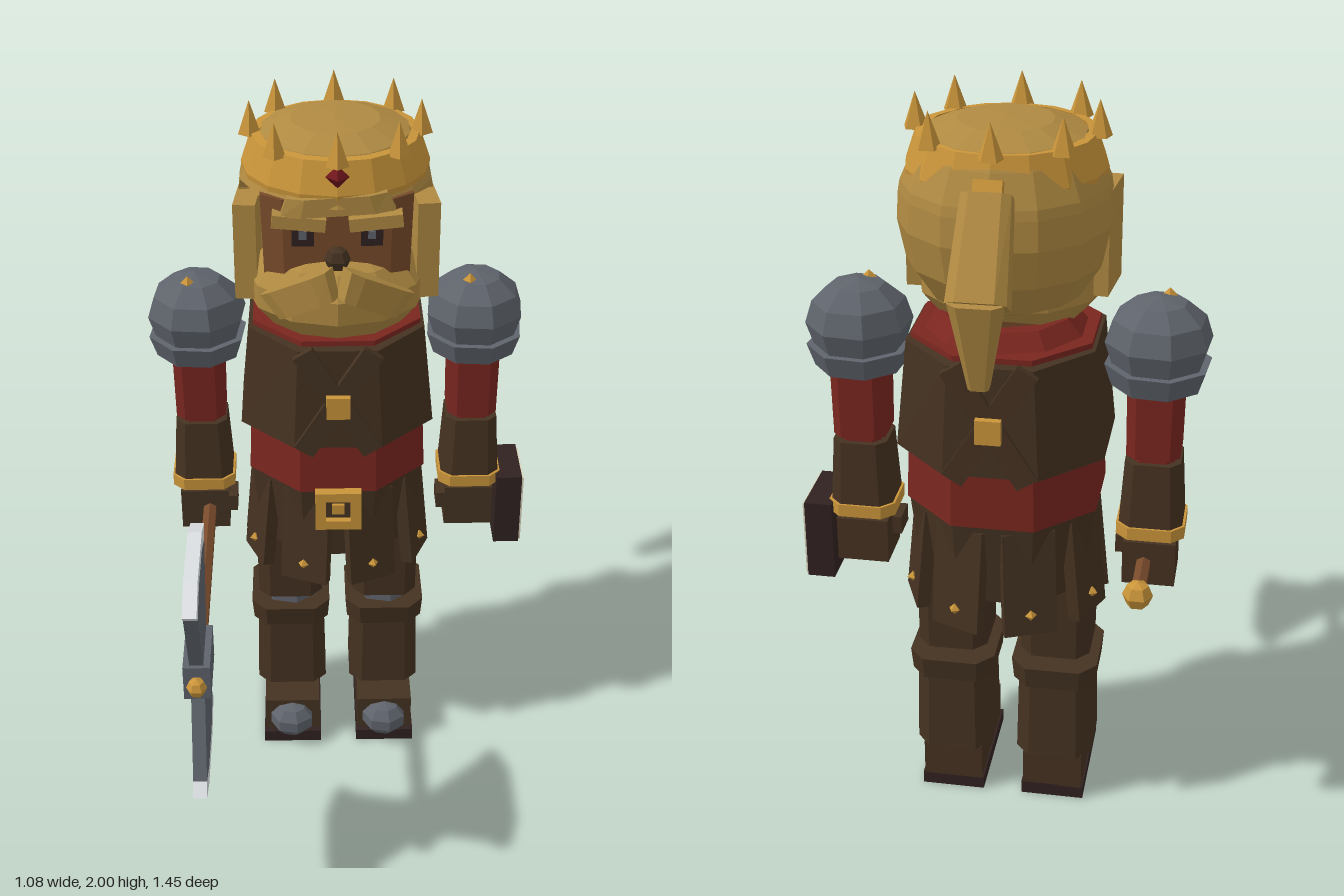
import * as THREE from 'three';

const mat = (name, color) => {
  const m = new THREE.MeshStandardMaterial({ color });
  m.name = name;
  return m;
};

export function createModel() {
  const hair = mat('hair', 0xb08a42), gold = mat('gold', 0xca953a), leather = mat('leather', 0x453221);
  const red = mat('red cloth', 0x7a261f), steel = mat('steel', 0x5f646c), silver = mat('blade edge', 0xdcdfe2);
  const skin = mat('skin and wood', 0x774a2a), page = mat('parchment', 0xd8d1ba);
  const gem = mat('gem', 0x6e161b), dark = mat('dark sole', 0x302220);

  // Faceted mesh with flat normals
  function add(parent, name, geo, material, pos, rot = [0, 0, 0], scale = [1, 1, 1]) {
    const g = geo.index ? geo.toNonIndexed() : geo;
    g.computeVertexNormals();
    const m = new THREE.Mesh(g, material);
    m.name = name;
    m.position.set(...pos);
    m.rotation.set(...rot);
    m.scale.set(...scale);
    parent.add(m);
    return m;
  }
  const group = (parent, name, x = 0, y = 0, z = 0) => {
    const g = new THREE.Group();
    g.name = name;
    g.position.set(x, y, z);
    parent.add(g);
    return g;
  };
  const box = (w, h, d) => new THREE.BoxGeometry(w, h, d);
  const ball = (r, a = 8, b = 6) => new THREE.SphereGeometry(r, a, b);
  const stud = r => new THREE.OctahedronGeometry(r);
  const points = list => list.map(p => new THREE.Vector2(...p));

  // Tapered block with chamfered upright corners; k is the flat share of each side
  function prism(wTop, dTop, wBot, dBot, h, k = 0.64) {
    const g = new THREE.CylinderGeometry(1, 1, h, 8, 1, false, Math.PI / 8);
    const p = g.attributes.position;
    const snap = v => Math.abs(v) < 0.1 ? 0 : Math.sign(v) * (Math.abs(v) > 0.6 ? 0.5 : 0.5 * k);
    for (let i = 0; i < p.count; i++) {
      const top = p.getY(i) > 0;
      p.setX(i, snap(p.getX(i)) * (top ? wTop : wBot));
      p.setZ(i, snap(p.getZ(i)) * (top ? dTop : dBot));
    }
    return g;
  }

  const model = new THREE.Group();
  model.name = 'warrior';
  const body = group(model, 'body', -0.013, 0, -0.265);

  // Torso: tunic, vest, crossed straps, belt
  const torso = group(body, 'torso');
  add(torso, 'tunic', prism(0.46, 0.46, 0.5, 0.49, 0.47, 0.43), red, [0, 1.175, 0]);
  add(torso, 'vest', prism(0.48, 0.52, 0.54, 0.54, 0.295, 0.45), leather, [0, 1.248, 0]);
  add(torso, 'collar', new THREE.CylinderGeometry(0.17, 0.22, 0.05, 10), red, [0, 1.425, 0]);
  add(torso, 'neck', new THREE.CylinderGeometry(0.13, 0.14, 0.14, 8), skin, [0, 1.46, 0]);
  add(torso, 'pelvis', prism(0.49, 0.48, 0.44, 0.42, 0.25, 0.43), leather, [0, 0.825, 0]);
  for (const s of [1, -1]) {
    for (const t of [1, -1])
      add(torso, 'chestStrap', box(0.06, 0.36, 0.02), leather, [0, 1.245, s * 0.272], [0, 0, t * 0.56]);
    add(torso, 'strapStud', box(0.065, 0.065, 0.025), gold, [0, 1.24, s * 0.288]);
  }
  const frame = new THREE.Shape(points([[-0.065, -0.06], [0.065, -0.06], [0.065, 0.06], [-0.065, 0.06]]));
  frame.holes.push(new THREE.Path(points([[-0.035, -0.032], [-0.035, 0.032], [0.035, 0.032], [0.035, -0.032]])));
  add(torso, 'buckleFrame', new THREE.ExtrudeGeometry(frame, { depth: 0.05, bevelEnabled: false }), gold, [0, 0.89, 0.225]);
  add(torso, 'bucklePlate', box(0.07, 0.064, 0.04), leather, [0, 0.89, 0.235]);
  add(torso, 'bucklePin', box(0.035, 0.03, 0.02), gold, [0, 0.89, 0.255]);

  // Skirt of flared panels, each with a stud
  for (let i = 0; i < 8; i++) {
    const p = group(body, 'skirtPanel');
    p.rotation.y = (i + 0.5) * Math.PI / 4;
    add(p, 'panel', box(0.14, 0.29, 0.035), leather, [0, 0.775, 0.235], [-0.1, 0, 0]);
    add(p, 'panelStud', stud(0.016), gold, [0, 0.69, 0.264]);
  }

  // Legs and boots
  for (const s of [1, -1]) {
    const leg = group(body, s > 0 ? 'leftLeg' : 'rightLeg', s * 0.142);
    add(leg, 'thigh', prism(0.2, 0.22, 0.19, 0.21, 0.32), leather, [0, 0.63, 0]);
    add(leg, 'kneeGuard', ball(0.09, 7, 5), steel, [0, 0.44, 0.02]);
    add(leg, 'bootCuff', prism(0.235, 0.27, 0.225, 0.25, 0.065), leather, [0, 0.412, 0]);
    add(leg, 'bootShaft', prism(0.2, 0.22, 0.21, 0.23, 0.24), leather, [0, 0.262, 0]);
    add(leg, 'foot', box(0.165, 0.11, 0.31), leather, [0, 0.09, 0.05]);
    add(leg, 'sole', box(0.175, 0.038, 0.33), dark, [0, 0.019, 0.06]);
    add(leg, 'toeCap', ball(0.07, 7, 5), steel, [0, 0.08, 0.205], [0, 0, 0], [1, 0.8, 0.9]);
  }

  // Arms: pauldron, sleeve, bracer, cuff, fist
  for (const s of [1, -1]) {
    const arm = group(body, s > 0 ? 'leftArm' : 'rightArm', s * 0.388);
    add(arm, 'pauldron', ball(0.14, 8, 6), steel, [0, 1.39, 0], [0, 0.3, 0], [1, 0.84, 1]);
    add(arm, 'pauldronRim', new THREE.CylinderGeometry(0.14, 0.12, 0.06, 8), steel, [0, 1.3, 0], [0, 0.3, 0]);
    add(arm, 'pauldronStud', stud(0.02), gold, [-0.02, 1.495, 0.04]);
    add(arm, 'sleeve', prism(0.145, 0.155, 0.14, 0.15, 0.2), red, [0, 1.18, 0]);
    add(arm, 'elbow', prism(0.11, 0.12, 0.11, 0.12, 0.06), red, [0, 1.07, 0]);
    add(arm, 'bracer', prism(0.145, 0.15, 0.17, 0.17, 0.2), leather, [0, 0.965, 0]);
    add(arm, 'cuff', prism(0.18, 0.18, 0.18, 0.18, 0.035), gold, [0, 0.868, 0]);
    add(arm, 'fist', box(0.14, 0.125, 0.14), leather, [0, 0.77, 0]);
    add(arm, 'thumb', box(0.04, 0.05, 0.08), leather, [-s * 0.075, 0.79, 0.03]);
  }

  // Head and face
  const head = group(body, 'head');
  add(head, 'face', prism(0.4, 0.28, 0.38, 0.28, 0.32, 0.72), skin, [0, 1.65, 0.07]);
  add(head, 'nose', ball(0.035, 6, 4), leather, [0, 1.65, 0.225]);

  // Hair: full dome on top and behind, cut away in front of the face
  const dome = [[0.001, 1.465], [0.11, 1.475], [0.195, 1.515], [0.25, 1.6], [0.27, 1.7], [0.265, 1.775],
    [0.26, 1.8], [0.225, 1.88], [0.2, 1.92], [0.12, 1.948], [0.001, 1.955]];
  const cap = new THREE.LatheGeometry(points(dome), 14), cp = cap.attributes.position;
  for (let i = 0; i < cp.count; i++)
    if (cp.getY(i) < 1.78 && cp.getZ(i) > 0.05) cp.setZ(i, 0.05);
  add(head, 'hairCap', cap, hair, [0, 0, -0.01], [0, 0, 0], [1, 1, 1.02]);
  add(head, 'beard', ball(1, 12, 7), hair, [0, 1.525, 0.075], [0, 0, 0], [0.25, 0.145, 0.235]);
  add(head, 'fringe', prism(0.26, 0.1, 0.3, 0.1, 0.05), hair, [0, 1.805, 0.2], [0, 0, 0.06]);
  for (const s of [1, -1]) {
    add(head, 'sideWhisker', box(0.06, 0.27, 0.16), hair, [s * 0.235, 1.635, 0.07], [0, s * 0.1, 0]);
    add(head, 'moustache', prism(0.22, 0.07, 0.18, 0.06, 0.08), hair, [s * 0.092, 1.57, 0.27], [0, s * 0.5, -s * 0.5]);
    add(head, 'eyebrow', box(0.14, 0.035, 0.06), hair, [s * 0.1, 1.755, 0.21], [0, 0, s * 0.1]);
    add(head, 'eye', box(0.058, 0.058, 0.02), dark, [s * 0.09, 1.712, 0.208]);
    add(head, 'eyeGlint', box(0.02, 0.022, 0.006), steel, [s * 0.09, 1.715, 0.22]);
  }

  // Ponytail
  add(head, 'ponytailTie', box(0.07, 0.05, 0.05), gold, [0, 1.84, -0.255], [0.5, 0, 0]);
  add(head, 'ponytailTop', prism(0.12, 0.08, 0.145, 0.12, 0.26), hair, [0, 1.725, -0.335], [0.55, 0, 0], [1, 1, 1]);
  add(head, 'ponytailEnd', prism(0.13, 0.1, 0.05, 0.045, 0.23), hair, [0, 1.525, -0.405], [-0.08, 0, 0]);

  // Crown: thin closed band around the dome, eight spikes, one gem
  const band = [[0.25, 1.82], [0.252, 1.835], [0.224, 1.918], [0.2, 1.92], [0.22, 1.82], [0.25, 1.82]];
  add(head, 'crownBand', new THREE.LatheGeometry(points(band), 16), gold, [0, 0, 0]);
  for (let i = 0; i < 8; i++) {
    const a = i * Math.PI / 4;
    add(head, 'crownSpike', new THREE.ConeGeometry(0.032, 0.09, 5), gold, [Math.sin(a) * 0.226, 1.955, Math.cos(a) * 0.23]);
  }
  add(head, 'crownGem', stud(0.031), gem, [0, 1.885, 0.243]);

  // Double axe pointing forward from the right hand
  const axe = group(model, 'axe', -0.388, 0.77, 0);
  add(axe, 'shaft', new THREE.CylinderGeometry(0.021, 0.021, 1.08, 6), skin, [0, 0, 0.06], [Math.PI / 2, 0, 0]);
  add(axe, 'pommel', ball(0.04, 6, 4), gold, [0, 0, -0.49]);
  add(axe, 'axeTip', ball(0.027, 6, 4), gold, [0, 0, 0.625]);
  add(axe, 'socket', box(0.07, 0.1, 0.18), steel, [0, 0, 0.52]);
  const plate = (pts, t) => {
    const g = new THREE.ExtrudeGeometry(new THREE.Shape(points(pts)), { depth: t, bevelEnabled: false });
    return g.translate(0, 0, -t / 2).rotateY(-Math.PI / 2);
  };
  const inner = [[0.175, 0.262], [0.08, 0.296], [-0.08, 0.296], [-0.175, 0.262]];
  const outer = [[-0.206, 0.292], [-0.105, 0.332], [0.105, 0.332], [0.206, 0.292]];
  for (const turn of [0, Math.PI]) {
    const blade = group(axe, 'axeBlade', 0, 0, 0.515);
    blade.rotation.z = turn;
    add(blade, 'bladePlate', plate([[-0.075, 0.03], [0.075, 0.03], ...inner], 0.036), steel, [0, 0, 0]);
    add(blade, 'bladeEdge', plate([...inner, ...outer], 0.036), silver, [0, 0, 0]);
  }

  // Book held against the left hand
  const book = group(model, 'book', 0.49, 0.77, -0.262);
  add(book, 'bookBlock', box(0.075, 0.225, 0.187), dark, [0, 0, 0]);
  add(book, 'bookFace', box(0.008, 0.215, 0.178), page, [0.039, 0, 0]);
  add(book, 'bookStud', stud(0.035), gold, [0.04, 0, 0], [0, 0, 0], [0.4, 1, 1]);

  return model;
}
